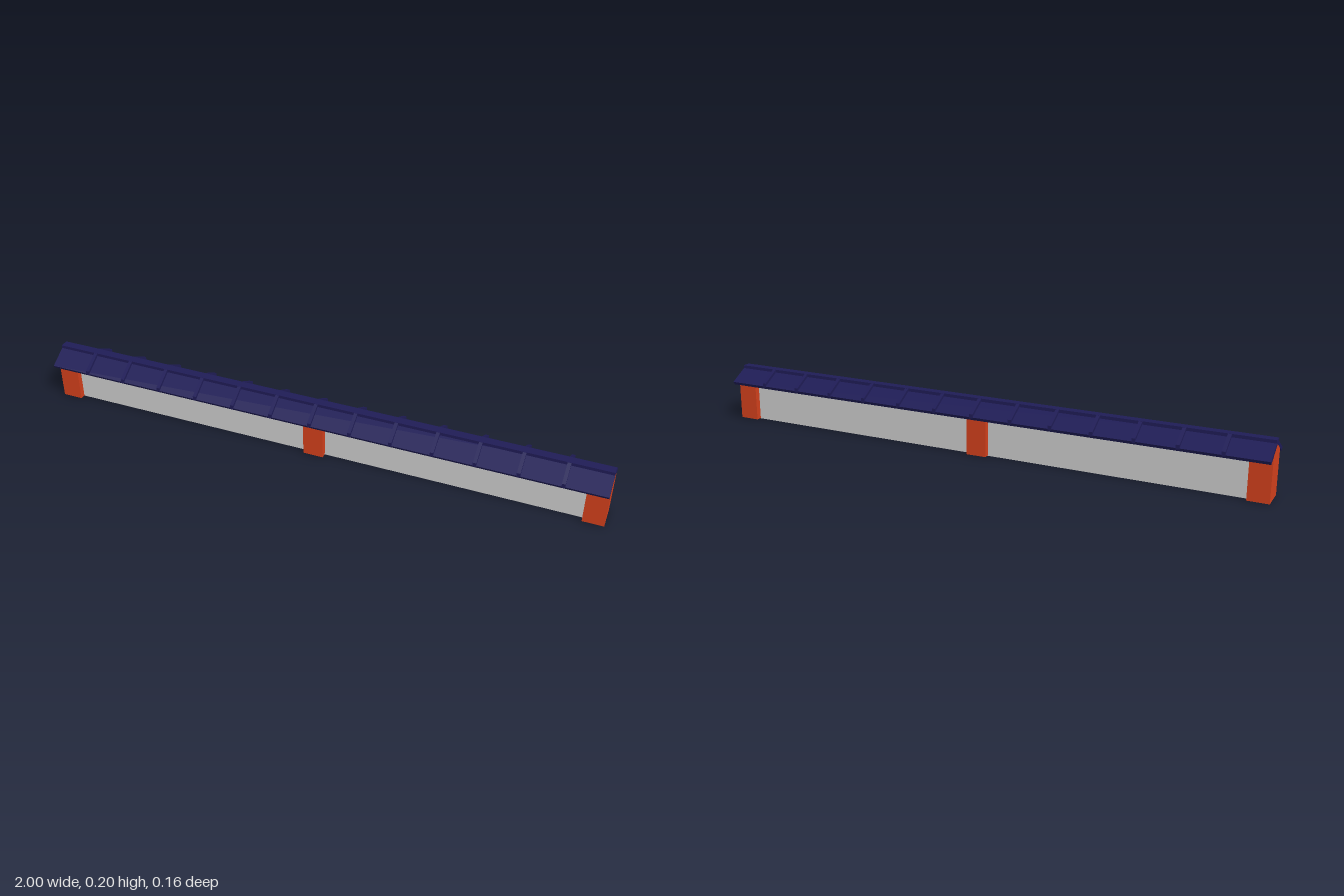
import * as THREE from 'three';

const ORANGE = 0xd2401c, NAVY = 0x1f1c56, GREY = 0xcccccc;
const SLOPE = 0.577; // roof pitch of 30 degrees

const materials = {};
function material(color) {
  materials[color] ??= new THREE.MeshStandardMaterial({ color, flatShading: true });
  return materials[color];
}

// Mirrors a half outline of [z, y] points and extrudes it along x.
function prism(name, half, x0, x1, color) {
  const mirrored = half.filter(([z]) => z > 0).map(([z, y]) => [-z, y]).reverse();
  const shape = new THREE.Shape([...half, ...mirrored].map(([z, y]) => new THREE.Vector2(z, y)));
  const geometry = new THREE.ExtrudeGeometry(shape, { depth: x1 - x0, bevelEnabled: false });
  geometry.rotateY(Math.PI / 2).translate(x0, 0, 0);
  const mesh = new THREE.Mesh(geometry, material(color));
  mesh.name = name;
  return mesh;
}

// Upright block with a gabled top that fits under the roof.
function gabled(name, halfDepth, base, peak, x0, x1, color) {
  return prism(name, [[halfDepth, base], [halfDepth, peak - SLOPE * halfDepth], [0, peak]], x0, x1, color);
}

export function createModel() {
  const model = new THREE.Group();
  model.name = 'roofedWall';

  // Wall running the whole length
  model.add(gabled('wall', 0.024, 0, 0.179, -0.995, 0.995, GREY));

  // Posts at both ends and in the middle
  const posts = new THREE.Group();
  posts.name = 'posts';
  for (const x of [-0.964, 0, 0.964]) {
    posts.add(gabled('post', 0.044, 0.001, 0.181, x - 0.036, x + 0.036, ORANGE));
  }
  model.add(posts);

  // Roof: thin gabled sheet, flat ridge cap and raised ribs
  const roof = new THREE.Group();
  roof.name = 'roof';
  roof.add(prism('roofSheet',
    [[0, 0.181], [0.074, 0.138], [0.081, 0.149], [0, 0.196]], -1, 1, NAVY));
  roof.add(prism('ridgeCap',
    [[0, 0.183], [0.015, 0.175], [0.015, 0.198], [0, 0.198]], -1, 1, NAVY));
  for (let i = -6; i <= 6; i++) {
    const x = i / 7;
    roof.add(prism('roofRib',
      [[0, 0.19], [0.081, 0.145], [0.081, 0.16], [0.016, 0.1975], [0, 0.1975]],
      x - 0.006, x + 0.006, NAVY));
  }
  model.add(roof);

  return model;
}
